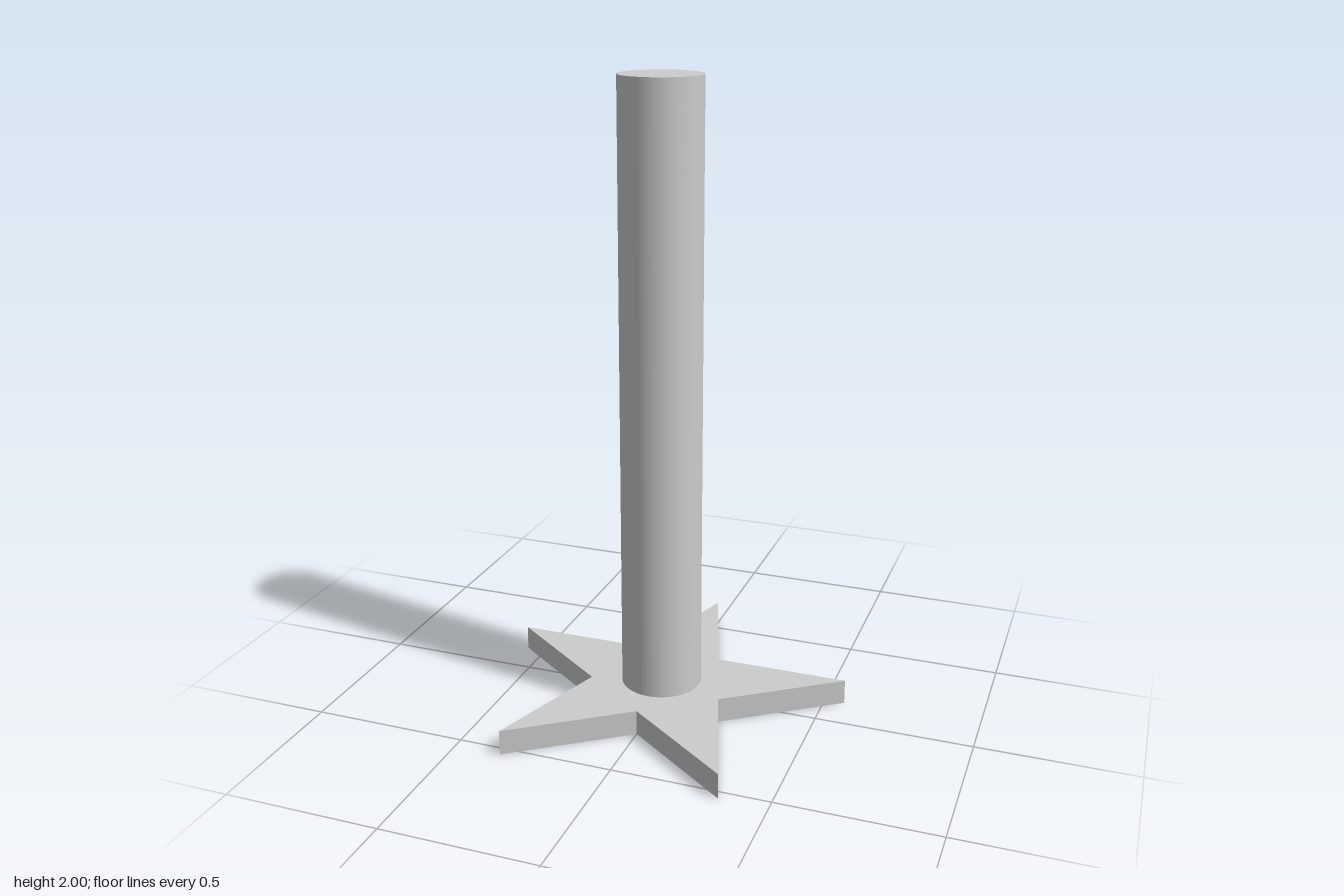
import * as THREE from 'three';

export function createModel() {
  const group = new THREE.Group();
  group.name = 'columnOnStarBase';
  const grey = new THREE.MeshStandardMaterial({ color: 0xcccccc });
  grey.name = 'light grey';

  const centreZ = 0.055; // shared axis of star and column
  const baseHeight = 0.08;
  const outer = 0.593;
  const inner = outer * 0.382; // regular pentagram ratio

  // Five-pointed star plate, one point towards the back
  const points = [];
  for (let i = 0; i < 10; i++) {
    const r = i % 2 ? inner : outer;
    const a = Math.PI / 2 + (i * Math.PI) / 5;
    points.push(new THREE.Vector2(r * Math.cos(a), r * Math.sin(a)));
  }
  const starGeometry = new THREE.ExtrudeGeometry(new THREE.Shape(points), {
    depth: baseHeight,
    bevelEnabled: false,
  });
  starGeometry.rotateX(-Math.PI / 2);
  const base = new THREE.Mesh(starGeometry, grey);
  base.name = 'starBase';
  base.position.z = centreZ;
  group.add(base);

  // Tall round column standing on the plate
  const columnHeight = 2 - baseHeight;
  const column = new THREE.Mesh(new THREE.CylinderGeometry(0.127, 0.127, columnHeight, 64), grey);
  column.name = 'column';
  column.position.set(0, baseHeight + columnHeight / 2, centreZ);
  group.add(column);

  return group;
}
